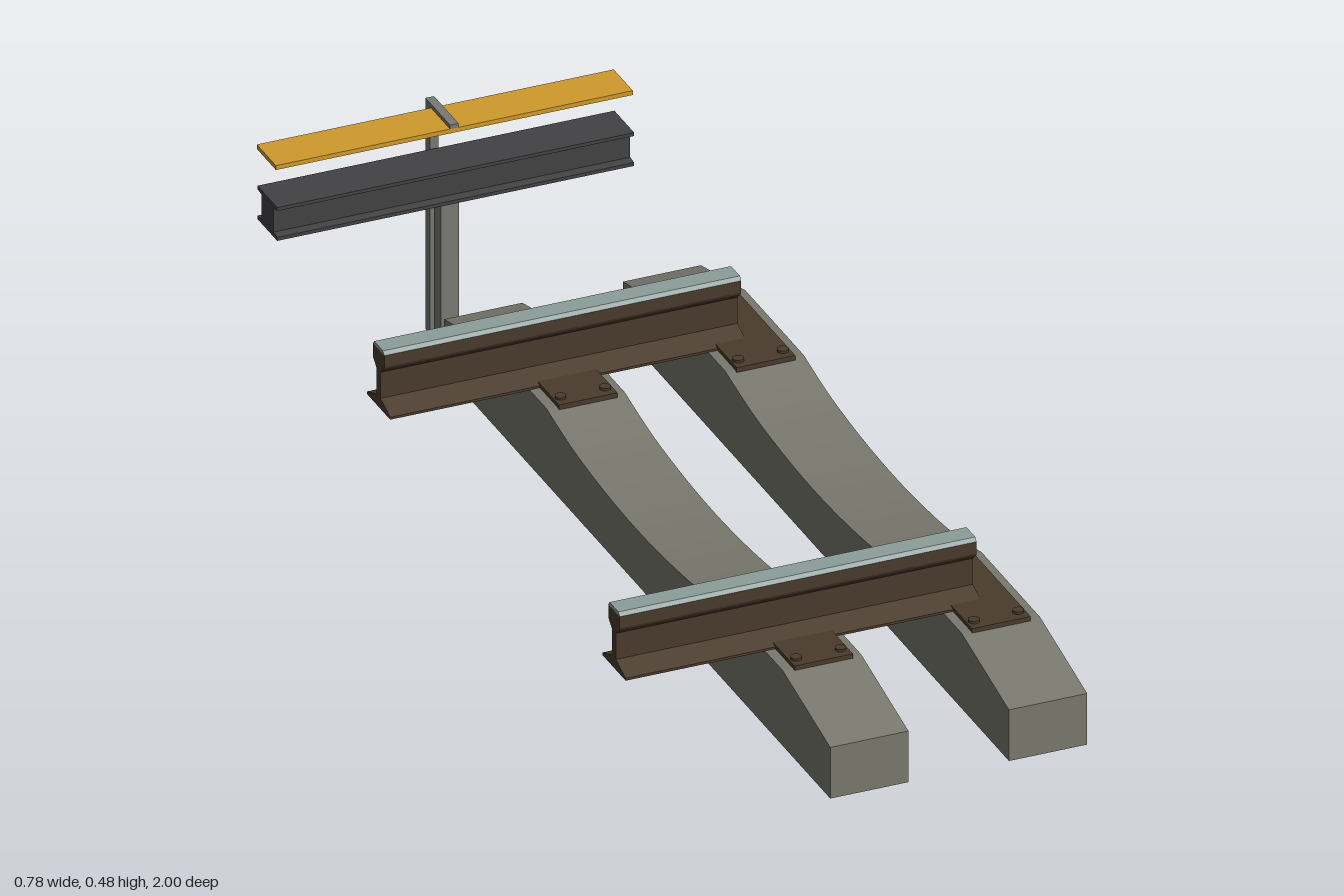
import * as THREE from 'three';

const mat = (name, color) => {
  const m = new THREE.MeshStandardMaterial({ color });
  m.name = name;
  return m;
};

export function createModel() {
  const concrete = mat('concrete', 0x78786e);
  const rust = mat('rusty steel', 0x4a3b2c);
  const polished = mat('polished rail top', 0x8c9d99);
  const darkSteel = mat('dark conductor steel', 0x424244);
  const postGrey = mat('post grey', 0x787a72);
  const yellow = mat('yellow board', 0xcf9a2c);

  const model = new THREE.Group();
  model.name = 'railTrackSection';
  const X0 = -0.393, X1 = 0.314;
  const railZ = [0.65, -0.421];

  // Box given by its limits on each axis
  const box = (name, m, [x0, x1], [y0, y1], [z0, z1], parent = model) => {
    const mesh = new THREE.Mesh(new THREE.BoxGeometry(x1 - x0, y1 - y0, z1 - z0), m);
    mesh.position.set((x0 + x1) / 2, (y0 + y1) / 2, (z0 + z1) / 2);
    mesh.name = name;
    parent.add(mesh);
  };

  // Profile of [z, y] points swept along x
  const sweep = (name, m, points, x0, x1, parent = model) => {
    const shape = new THREE.Shape(points.map(([z, y]) => new THREE.Vector2(z, y)));
    const geo = new THREE.ExtrudeGeometry(shape, { depth: x1 - x0, bevelEnabled: false });
    geo.rotateY(-Math.PI / 2).translate(x1, 0, 0);
    const mesh = new THREE.Mesh(geo, m);
    mesh.name = name;
    parent.add(mesh);
    return mesh;
  };
  const mirrored = half => [...half, ...half.map(([z, y]) => [-z, y]).reverse()];

  // Sleepers: raised rail seats with a dipped waist between them
  const waist = new THREE.SplineCurve([
    [0.52, 0.208], [0.4, 0.184], [0.26, 0.17], [0.115, 0.165],
    [-0.03, 0.17], [-0.17, 0.184], [-0.29, 0.208],
  ].map(p => new THREE.Vector2(...p))).getPoints(18).map(p => [p.x, p.y]);
  const sleeper = [[1, 0.052], [1, 0.158], [0.785, 0.208], ...waist,
    [-0.555, 0.208], [-0.757, 0.158], [-0.757, 0.052]];
  for (const x of [-0.117, 0.237]) {
    sweep('sleeper', concrete, sleeper, x, x + 0.155);
  }

  // Rails: foot, web and head, with a worn running surface
  const railHalf = [[0.053, 0.207], [0.053, 0.212], [0.009, 0.229], [0.009, 0.283],
    [0.024, 0.297], [0.026, 0.302], [0.026, 0.326]];
  const capHalf = [[0.026, 0.326], [0.02, 0.333]];
  for (const z of railZ) {
    const rail = new THREE.Group();
    rail.name = 'rail';
    rail.position.z = z;
    sweep('railBody', rust, mirrored(railHalf), X0, X1, rail);
    sweep('railTop', polished, mirrored(capHalf), X0, X1, rail);
    model.add(rail);

    // Base plates with four fastenings each
    for (const x of [-0.0385, 0.3135]) {
      const plate = new THREE.Group();
      plate.name = 'basePlate';
      plate.position.set(x, 0, z);
      box('plate', rust, [-0.058, 0.058], [0.206, 0.216], [-0.14, 0.14], plate);
      for (const sx of [-1, 1]) for (const sz of [-1, 1]) {
        const bolt = new THREE.Mesh(new THREE.CylinderGeometry(0.011, 0.011, 0.006, 8), rust);
        bolt.name = 'bolt';
        bolt.position.set(sx * 0.044, 0.218, sz * 0.115);
        plate.add(bolt);
      }
      model.add(plate);
    }
  }

  // Conductor beam beside the track
  const beamHalf = [[0.045, 0.318], [0.045, 0.325], [0.027, 0.327], [0.027, 0.378],
    [0.045, 0.38], [0.045, 0.387]];
  sweep('conductorBeam', darkSteel, mirrored(beamHalf), X0, X1).position.z = -0.927;
  box('beamPost', postGrey, [-0.057, -0.021], [0, 0.318], [-0.941, -0.909]);

  // Guard board on its bracket
  box('guardBoard', yellow, [X0, X1], [0.462, 0.471], [-0.975, -0.888]);
  box('bracketPost', postGrey, [-0.048, -0.031], [0, 0.479], [-1, -0.98]);
  box('bracketArm', postGrey, [-0.048, -0.031], [0.471, 0.479], [-0.98, -0.888]);

  return model;
}
